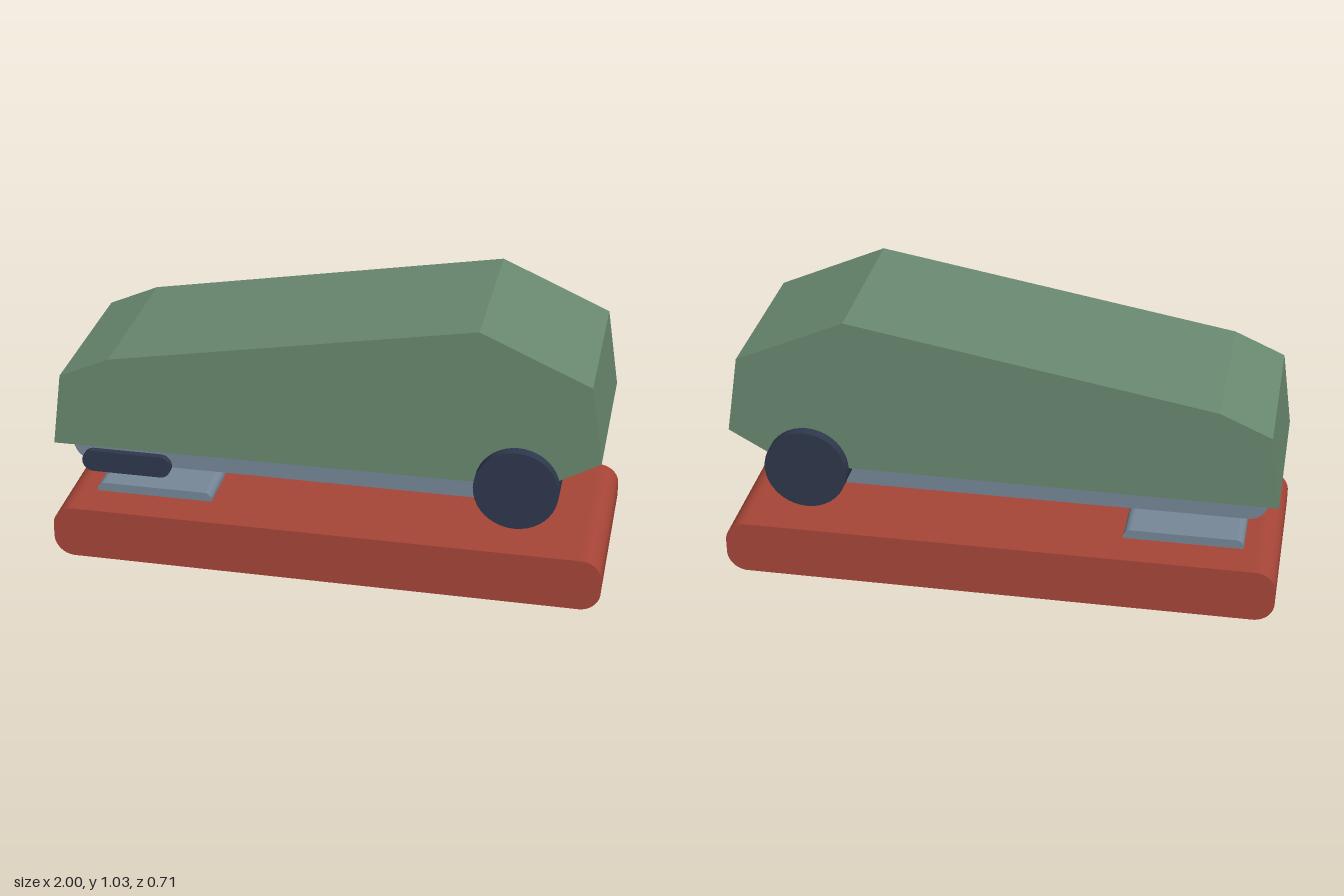
import * as THREE from 'three';

const material = (name, color) => {
  const m = new THREE.MeshStandardMaterial({ color });
  m.name = name;
  return m;
};

// Rounded rectangle in the x-y plane
function roundedRect(x0, y0, x1, y1, r) {
  const s = new THREE.Shape();
  s.moveTo(x0 + r, y0);
  s.lineTo(x1 - r, y0);
  s.absarc(x1 - r, y0 + r, r, -Math.PI / 2, 0);
  s.lineTo(x1, y1 - r);
  s.absarc(x1 - r, y1 - r, r, 0, Math.PI / 2);
  s.lineTo(x0 + r, y1);
  s.absarc(x0 + r, y1 - r, r, Math.PI / 2, Math.PI);
  s.lineTo(x0, y0 + r);
  s.absarc(x0 + r, y0 + r, r, Math.PI, Math.PI * 1.5);
  return s;
}

// Side profile extruded across the width, from z0 to z1
function slab(name, shape, z0, z1, mat) {
  const geometry = new THREE.ExtrudeGeometry(shape, {
    depth: z1 - z0, bevelEnabled: false, curveSegments: 8,
  });
  geometry.translate(0, 0, z0);
  const mesh = new THREE.Mesh(geometry, mat);
  mesh.name = name;
  return mesh;
}

export function createModel() {
  const red = material('brick red', 0xa84638);
  const green = material('sage green', 0x6a8a71);
  const steel = material('slate steel', 0x778899);
  const navy = material('dark navy', 0x2f384d);

  const model = new THREE.Group();
  model.name = 'stapler';

  // Base and anvil plate
  model.add(slab('base', roundedRect(-1, 0, 1, 0.198, 0.075), -0.355, 0.355, red));
  model.add(slab('anvilPlate', roundedRect(-0.873, 0.17, -0.44, 0.232, 0.028), -0.208, 0.208, steel));

  // Staple magazine with the release lever on its front side
  model.add(slab('magazine', roundedRect(-0.95, 0.33, 0.7, 0.47, 0.069), -0.215, 0.215, steel));
  model.add(slab('releaseLever', roundedRect(-0.915, 0.297, -0.583, 0.38, 0.041), 0.21, 0.24, navy));

  // Faceted top cover
  const cover = new THREE.Shape([
    [-0.99, 0.443], [0.4, 0.45], [0.77, 0.453], [0.972, 0.567], [0.927, 0.853],
    [0.537, 1.026], [-0.77, 0.797], [-0.953, 0.716],
  ].map(([x, y]) => new THREE.Vector2(x, y)));
  model.add(slab('cover', cover, -0.315, 0.315, green));

  // Hinge barrel
  const barrel = new THREE.CylinderGeometry(0.149, 0.149, 0.71, 40);
  barrel.rotateX(Math.PI / 2);
  const hinge = new THREE.Mesh(barrel, navy);
  hinge.name = 'hingeBarrel';
  hinge.position.set(0.686, 0.451, 0);
  model.add(hinge);

  return model;
}
